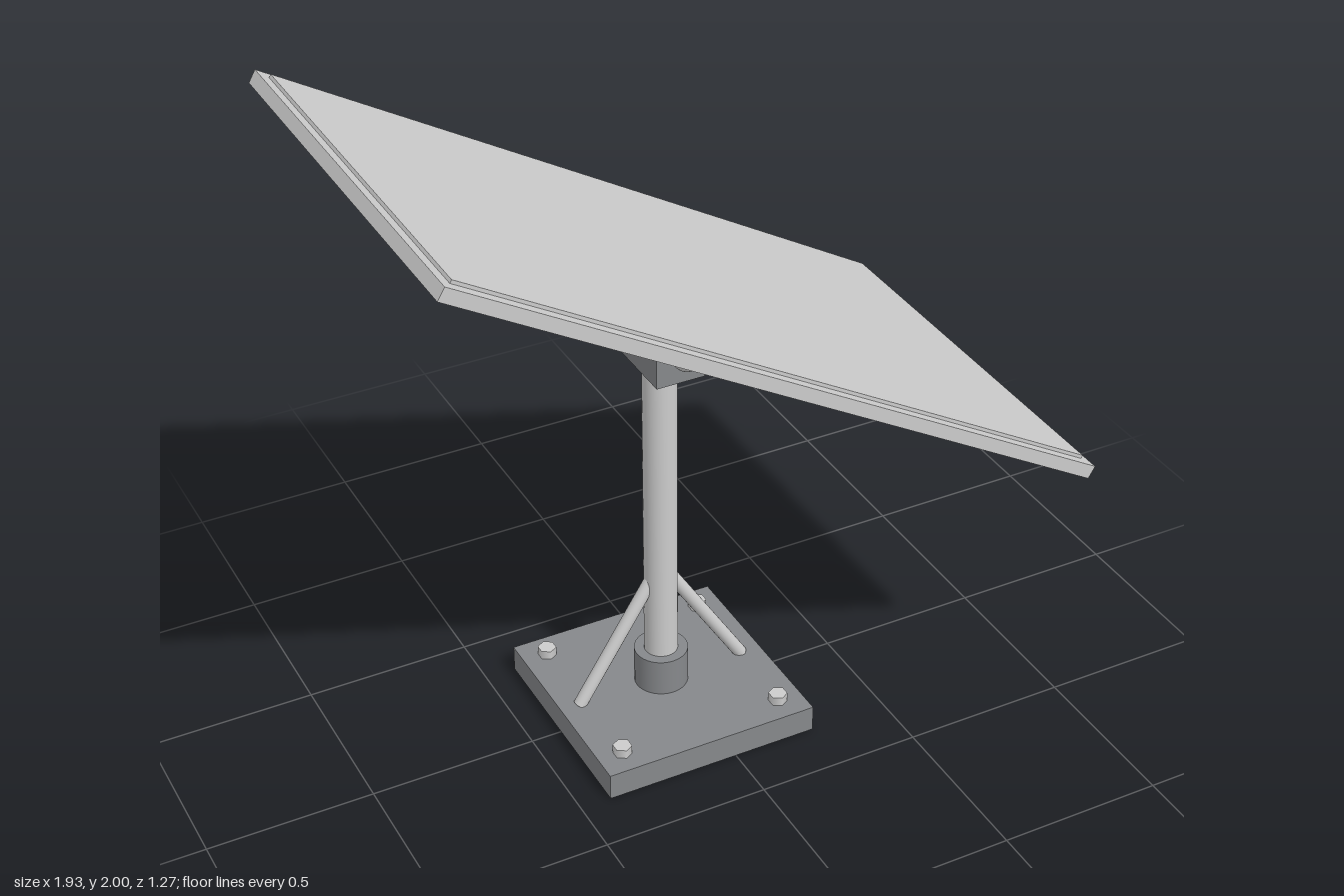
import * as THREE from 'three';

export function createModel() {
  const light = new THREE.MeshStandardMaterial({ name: 'lightGrey', color: 0xcccccc });
  const dark = new THREE.MeshStandardMaterial({ name: 'darkGrey', color: 0x86888b });
  const model = new THREE.Group();
  model.name = 'tiltedPanelOnPost';

  const add = (parent, name, geometry, material, x, y, z) => {
    const mesh = new THREE.Mesh(geometry, material);
    mesh.name = name;
    mesh.position.set(x, y, z);
    parent.add(mesh);
    return mesh;
  };
  const box = (w, h, d) => new THREE.BoxGeometry(w, h, d);
  const cylinder = (r, h, sides = 32) => new THREE.CylinderGeometry(r, r, h, sides);

  // Stand, centred on the post axis
  const stand = new THREE.Group();
  stand.name = 'stand';
  stand.position.x = -0.075;
  model.add(stand);
  add(stand, 'basePlate', box(0.663, 0.083, 0.663), dark, 0, 0.0415, 0);
  add(stand, 'postSleeve', cylinder(0.08, 0.12), dark, 0, 0.14, 0);
  add(stand, 'post', cylinder(0.05, 1.12), light, 0, 0.643, 0);
  add(stand, 'headBlock', box(0.148, 0.09, 0.26), dark, 0, 1.243, 0);

  // Pivot bar with rounded ends
  const pivot = add(stand, 'pivotBar', new THREE.CapsuleGeometry(0.045, 0.33, 8, 24), light, 0, 1.305, 0);
  pivot.rotation.x = Math.PI / 2;

  // Anchor bolts in the four corners, a diagonal brace on each side
  const up = new THREE.Vector3(0, 1, 0);
  for (const sx of [-1, 1]) {
    for (const sz of [-1, 1]) {
      add(stand, 'anchorBolt', cylinder(0.028, 0.03, 6), light, sx * 0.255, 0.096, sz * 0.255);
    }
    const foot = new THREE.Vector3(sx * 0.268, 0.08, 0);
    const top = new THREE.Vector3(sx * 0.03, 0.457, 0);
    const span = top.clone().sub(foot);
    const brace = add(stand, 'brace', cylinder(0.02, span.length(), 20), light, 0, 0, 0);
    brace.position.copy(foot).add(top).multiplyScalar(0.5);
    brace.quaternion.setFromUnitVectors(up, span.normalize());
  }

  // Panel assembly, tilted 30 degrees down toward +x
  const panel = new THREE.Group();
  panel.name = 'panelAssembly';
  panel.position.set(0, 1.433, 0);
  panel.rotation.z = -Math.PI / 6;
  model.add(panel);
  add(panel, 'panelFrame', box(2.2, 0.04, 1.266), light, 0, 0, 0);
  add(panel, 'panelFace', box(2.14, 0.012, 1.2), light, 0, 0.024, 0);
  for (const s of [-1, 1]) {
    add(panel, 'supportRail', box(1.92, 0.03, 0.045), light, 0, -0.035, s * 0.35);
  }
  add(panel, 'crossBar', box(0.06, 0.05, 0.94), light, 0, -0.045, 0);
  add(panel, 'mountBlock', box(0.075, 0.128, 0.3), dark, 0, -0.084, 0);

  return model;
}
